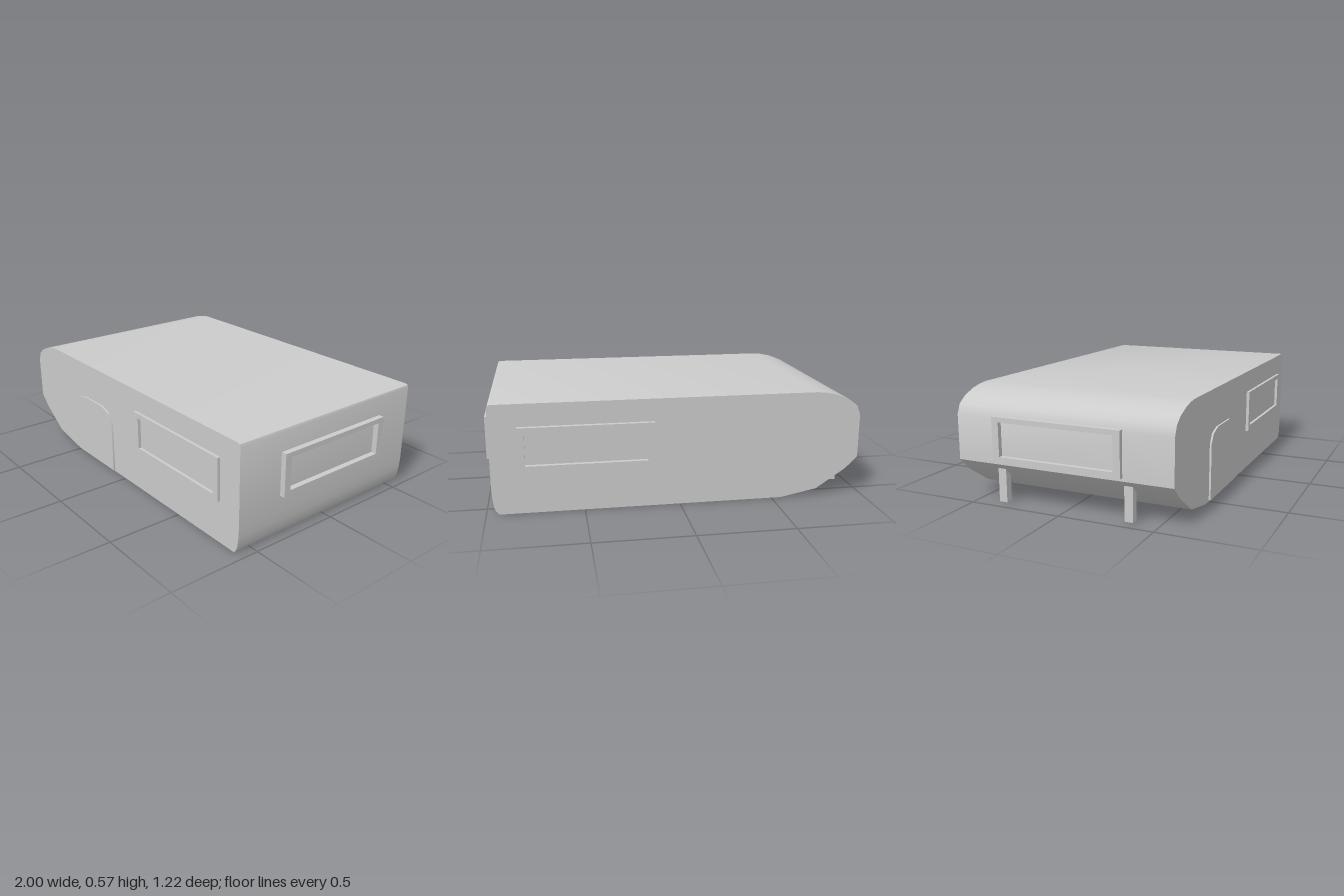
import * as THREE from 'three';
import { toCreasedNormals } from 'three/addons/utils/BufferGeometryUtils.js';

const material = new THREE.MeshStandardMaterial({ color: 0xcccccc, side: THREE.DoubleSide });

const toShape = (points) => new THREE.Shape(points.map(([x, y]) => new THREE.Vector2(x, y)));

// Extrudes a side outline from z0 to z1, smooth over shallow angles
function slab(name, shape, z0, z1) {
  const geometry = new THREE.ExtrudeGeometry(shape, { depth: z1 - z0, bevelEnabled: false });
  geometry.translate(0, 0, z0);
  const mesh = new THREE.Mesh(toCreasedNormals(geometry, 0.65), material);
  mesh.name = name;
  return mesh;
}

// Rectangular frame with an opening, centred on its width
function windowFrame(name, depth) {
  const rect = (w, y0, y1) => [[-w, y0], [w, y0], [w, y1], [-w, y1]];
  const shape = toShape(rect(0.348, 0.23, 0.46));
  shape.holes.push(toShape(rect(0.311, 0.26, 0.434)));
  return slab(name, shape, -0.01, depth);
}

export function createModel() {
  const model = new THREE.Group();
  model.name = 'camperShell';

  // Body: side outline swept across the width
  model.add(slab('body', toShape([
    [-0.55, 0.003], [0.935, 0.003], [0.948, 0.018], [0.958, 0.04], [0.965, 0.09], [0.968, 0.15],
    [0.968, 0.56], [0.963, 0.573], [0.95, 0.578],
    [-0.73, 0.578], [-0.78, 0.573], [-0.84, 0.56], [-0.91, 0.532], [-0.955, 0.498], [-0.975, 0.447],
    [-0.975, 0.213], [-0.91, 0.148], [-0.75, 0.042],
  ]), -0.585, 0.59));

  // Door with chamfered top corners
  model.add(slab('door', toShape([
    [-0.502, 0.01], [-0.112, 0.01], [-0.112, 0.302], [-0.142, 0.354], [-0.21, 0.375],
    [-0.405, 0.375], [-0.473, 0.354], [-0.502, 0.302],
  ]), 0.58, 0.6));

  // Window frames: name, x, z, turn about y, projection
  const windows = [
    ['frontWindowFrame', 0.482, 0.59, 0, 0.016],
    ['backWindowFrame', 0.482, -0.585, Math.PI, 0.025],
    ['leftWindowFrame', 0.968, -0.014, Math.PI / 2, 0.03],
    ['rightWindowFrame', -0.975, -0.016, -Math.PI / 2, 0.025],
  ];
  for (const [name, x, z, turn, depth] of windows) {
    const frame = windowFrame(name, depth);
    frame.position.set(x, 0, z);
    frame.rotation.y = turn;
    model.add(frame);
  }

  // Support legs under the sloping end
  for (const [name, z] of [['frontLeg', 0.35], ['backLeg', -0.35]]) {
    const leg = new THREE.Mesh(new THREE.BoxGeometry(0.04, 0.19, 0.045), material);
    leg.name = name;
    leg.position.set(-0.926, 0.103, z);
    model.add(leg);
  }
  return model;
}
